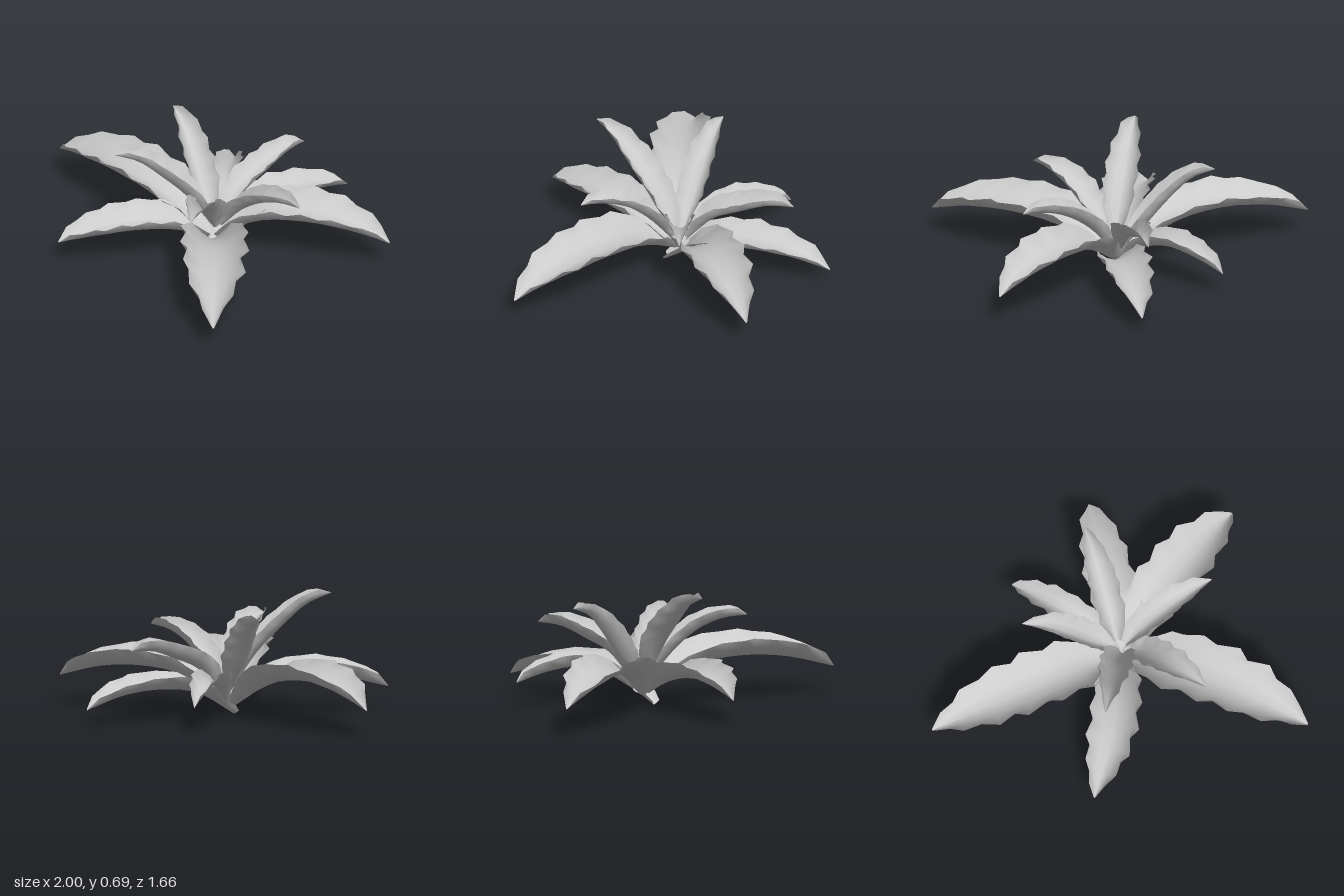
import * as THREE from 'three';

const ROWS = 13;
// Cross-section of the channelled blade: [sideways, lift] from edge to edge
const SECTION = [[-1, 1], [-0.78, 0.58], [-0.42, 0.2], [0, 0], [0.42, 0.2], [0.78, 0.58], [1, 1]];
// Width and channel depth along the leaf: [position, factor]
const WIDTH = [[0, 0.24], [0.12, 0.52], [0.25, 0.92], [0.5, 1], [0.7, 0.86], [0.88, 0.48], [1, 0.03]];
const DEPTH = [[0, 0.3], [0.15, 0.8], [0.3, 1], [0.55, 1], [0.8, 0.8], [0.94, 0.55], [1, 0.05]];

// name, base, tip, midrib heights at 1/4, 1/2, 3/4, half width, channel depth, sideways bow
const LEAVES = [
  ['outerLeafRight', [0.1, 0.06, 0.06], [-1, 0.155, 0.13], [0.21, 0.255, 0.23], 0.17, 0.105, -0.03],
  ['outerLeafBackLeft', [0.15, 0.06, 0.02], [0.99, 0.17, -0.48], [0.21, 0.25, 0.235], 0.165, 0.11, 0],
  ['outerLeafFrontLeft', [0.15, 0.06, 0.07], [0.95, 0.15, 0.82], [0.2, 0.24, 0.22], 0.185, 0.115, -0.01],
  ['outerLeafFront', [0.12, 0.07, 0.08], [-0.3, 0.145, 0.81], [0.17, 0.205, 0.19], 0.14, 0.1, -0.04],
  ['outerLeafBack', [0.17, 0.0, 0.1], [0.28, 0.09, -0.83], [0.135, 0.17, 0.155], 0.14, 0.085, 0],
  ['outerLeafBackRight', [0.11, 0.09, 0.0], [-0.29, 0.145, -0.52], [0.19, 0.225, 0.2], 0.085, 0.08, 0],
  ['innerLeafRight', [0.1, 0.14, 0.02], [-0.375, 0.6, -0.13], [0.28, 0.43, 0.55], 0.085, 0.08, 0],
  ['innerLeafFrontRight', [0.14, 0.15, 0.07], [-0.135, 0.67, 0.54], [0.35, 0.49, 0.61], 0.095, 0.08, 0],
  ['innerLeafFrontLeft', [0.18, 0.15, 0.08], [0.46, 0.49, 0.53], [0.31, 0.42, 0.475], 0.095, 0.075, 0],
  ['innerLeafLeft', [0.18, 0.14, 0.02], [0.715, 0.45, -0.06], [0.29, 0.385, 0.435], 0.08, 0.08, 0],
  ['innerLeafBack', [0.14, 0.13, -0.02], [0.17, 0.41, -0.61], [0.28, 0.345, 0.4], 0.085, 0.085, 0],
];

// Linear interpolation in a small table
function sample(table, t) {
  let i = 1;
  while (i < table.length - 1 && table[i][0] < t) i++;
  const [t0, a] = table[i - 1], [t1, b] = table[i];
  return a + (b - a) * (t - t0) / (t1 - t0);
}

// Repeatable irregularity for the toothed edges
function noise(a, b) {
  const v = Math.sin(a * 12.9 + b * 78.2) * 43758.5;
  return v - Math.floor(v);
}

// Channelled, arching blade with toothed edges, lofted along its midrib
function leafGeometry(base, tip, heights, halfWidth, depth, bow, seed) {
  const a = new THREE.Vector3(...base), b = new THREE.Vector3(...tip);
  const side = new THREE.Vector3(-(b.z - a.z), 0, b.x - a.x).normalize();
  const rib = heights.map((y, i) => {
    const t = (i + 1) / 4;
    return a.clone().lerp(b, t).setY(y).addScaledVector(side, bow * Math.sin(Math.PI * t));
  });
  const curve = new THREE.CatmullRomCurve3([a, ...rib, b]);
  const positions = [], index = [];
  const n = SECTION.length;

  for (let r = 0; r <= ROWS; r++) {
    const t = r / ROWS;
    const centre = curve.getPointAt(t);
    const along = curve.getTangentAt(t);
    const up = side.clone().cross(along).normalize();
    SECTION.forEach(([s, lift], k) => {
      const p = centre.clone();
      let w = halfWidth * sample(WIDTH, t);
      if ((k === 0 || k === n - 1) && r > 1 && r < ROWS) {
        // Teeth: every other edge point is pulled in, the others slide towards the tip
        const tooth = (r + (k ? 1 : 0)) % 2;
        w *= tooth ? 1.02 + 0.08 * noise(r, seed + k) : 0.82 + 0.1 * noise(r, seed + k);
        if (tooth && r < ROWS - 1) p.addScaledVector(along, halfWidth * 0.2 * noise(r + 3, seed + k));
      }
      p.addScaledVector(side, s * w).addScaledVector(up, lift * depth * sample(DEPTH, t));
      positions.push(p.x, p.y, p.z);
      if (r < ROWS && k < n - 1) {
        const i = r * n + k;
        index.push(i, i + 1, i + n, i + 1, i + n + 1, i + n);
      }
    });
  }
  const geometry = new THREE.BufferGeometry();
  geometry.setAttribute('position', new THREE.Float32BufferAttribute(positions, 3));
  geometry.setIndex(index);
  geometry.computeVertexNormals();
  return geometry;
}

export function createModel() {
  const group = new THREE.Group();
  group.name = 'rosettePlant';
  const material = new THREE.MeshStandardMaterial({ color: 0xcccccc, side: THREE.DoubleSide });
  LEAVES.forEach(([name, ...shape], i) => {
    const leaf = new THREE.Mesh(leafGeometry(...shape, i), material);
    leaf.name = name;
    group.add(leaf);
  });
  return group;
}
